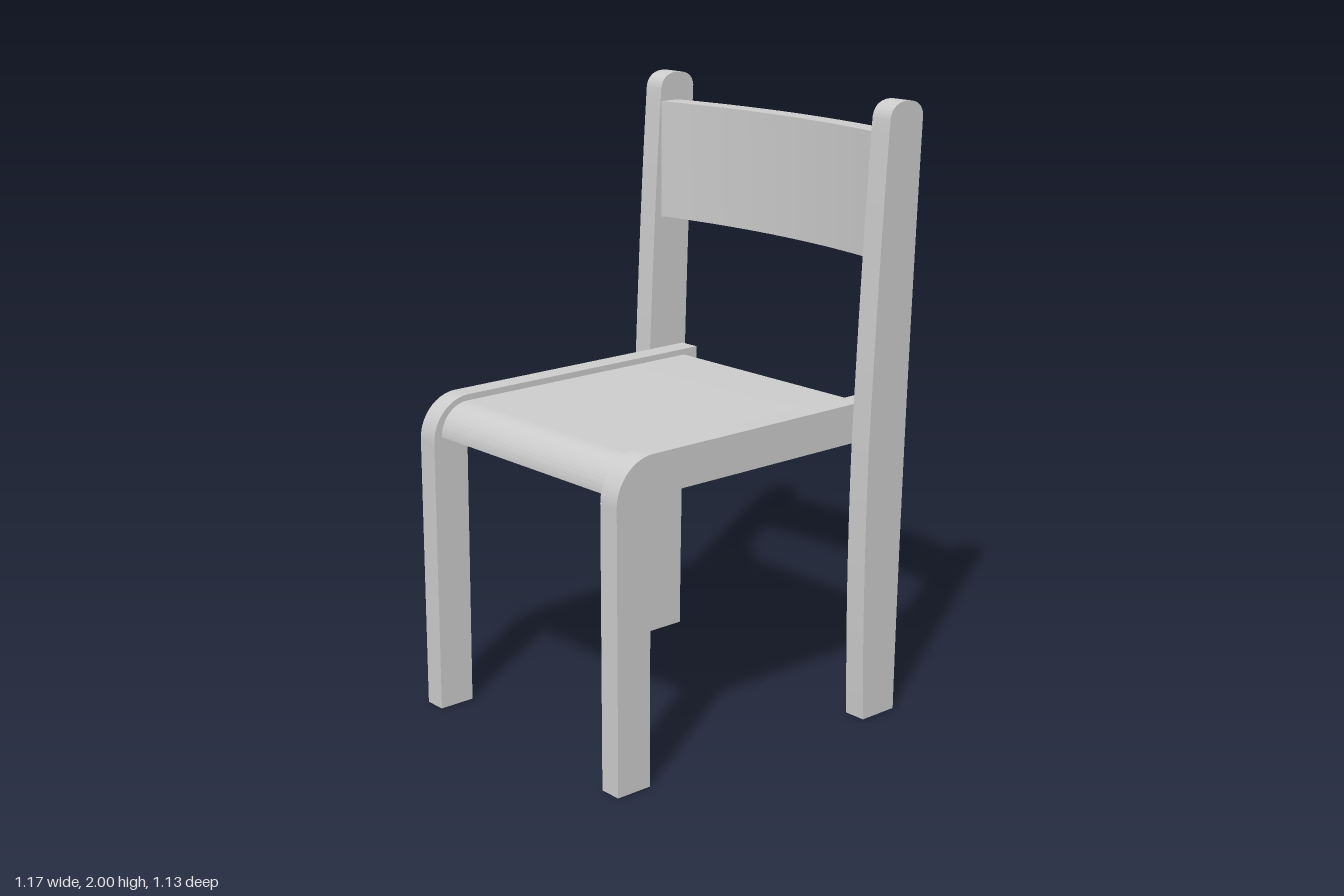
import * as THREE from 'three';
import { toCreasedNormals } from 'three/addons/utils/BufferGeometryUtils.js';

const material = new THREE.MeshStandardMaterial({ color: 0xcccccc });

// Extrude a shape with crisp edges and smooth curves
function board(shape, depth) {
  const geometry = new THREE.ExtrudeGeometry(shape, { depth, bevelEnabled: false, curveSegments: 20 });
  return toCreasedNormals(geometry, 0.5);
}

function addPart(group, name, geometry, z = 0) {
  const mesh = new THREE.Mesh(geometry, material);
  mesh.name = name;
  mesh.position.z = z;
  group.add(mesh);
  return mesh;
}

// Back post: slightly bowed, leaning back, with a rounded top
function postShape() {
  const s = new THREE.Shape();
  s.moveTo(0.388, 0);
  s.lineTo(0.53, 0);
  s.quadraticCurveTo(0.538, 0.9, 0.585, 1.95);
  s.bezierCurveTo(0.582, 1.985, 0.55, 2, 0.512, 2);
  s.bezierCurveTo(0.475, 2, 0.445, 1.985, 0.439, 1.95);
  s.quadraticCurveTo(0.407, 1.53, 0.382, 0.92);
  s.quadraticCurveTo(0.37, 0.46, 0.388, 0);
  return s;
}

// Front leg that bends into the seat rail
function railShape() {
  const s = new THREE.Shape();
  s.moveTo(-0.59, 0);
  s.lineTo(-0.465, 0);
  s.lineTo(-0.46, 0.865);
  s.absarc(-0.405, 0.865, 0.055, Math.PI, Math.PI / 2, true);
  s.lineTo(0.537, 0.92);
  s.lineTo(0.537, 1.048);
  s.lineTo(-0.45, 1.048);
  s.absarc(-0.45, 0.908, 0.14, Math.PI / 2, Math.PI, false);
  s.lineTo(-0.59, 0);
  return s;
}

// Seat panel with a rolled front edge
function seatShape() {
  const s = new THREE.Shape();
  s.moveTo(-0.56, 0.925);
  s.lineTo(0.478, 0.925);
  s.lineTo(0.478, 1.028);
  s.lineTo(-0.455, 1.028);
  s.absellipse(-0.455, 0.925, 0.105, 0.103, Math.PI / 2, Math.PI, false);
  return s;
}

// Curved backrest in plan
function backrestShape() {
  const s = new THREE.Shape();
  s.moveTo(0.44, -0.49);
  s.lineTo(0.517, -0.49);
  s.quadraticCurveTo(0.615, 0, 0.517, 0.49);
  s.lineTo(0.44, 0.49);
  s.quadraticCurveTo(0.54, 0, 0.44, -0.49);
  return s;
}

export function createModel() {
  const chair = new THREE.Group();
  chair.name = 'chair';

  const post = board(postShape(), 0.075);
  const rail = board(railShape(), 0.074);
  for (const [side, sign] of [['Front', 1], ['Rear', -1]]) {
    addPart(chair, 'backPost' + side, post, sign * 0.5265 - 0.0375);
    addPart(chair, 'legAndRail' + side, rail, sign * 0.45 - 0.037);
  }

  addPart(chair, 'seat', board(seatShape(), 0.826), -0.413);

  const backrest = addPart(chair, 'backrest', board(backrestShape(), 0.395));
  backrest.rotation.x = -Math.PI / 2;
  backrest.position.y = 1.51;
  return chair;
}
